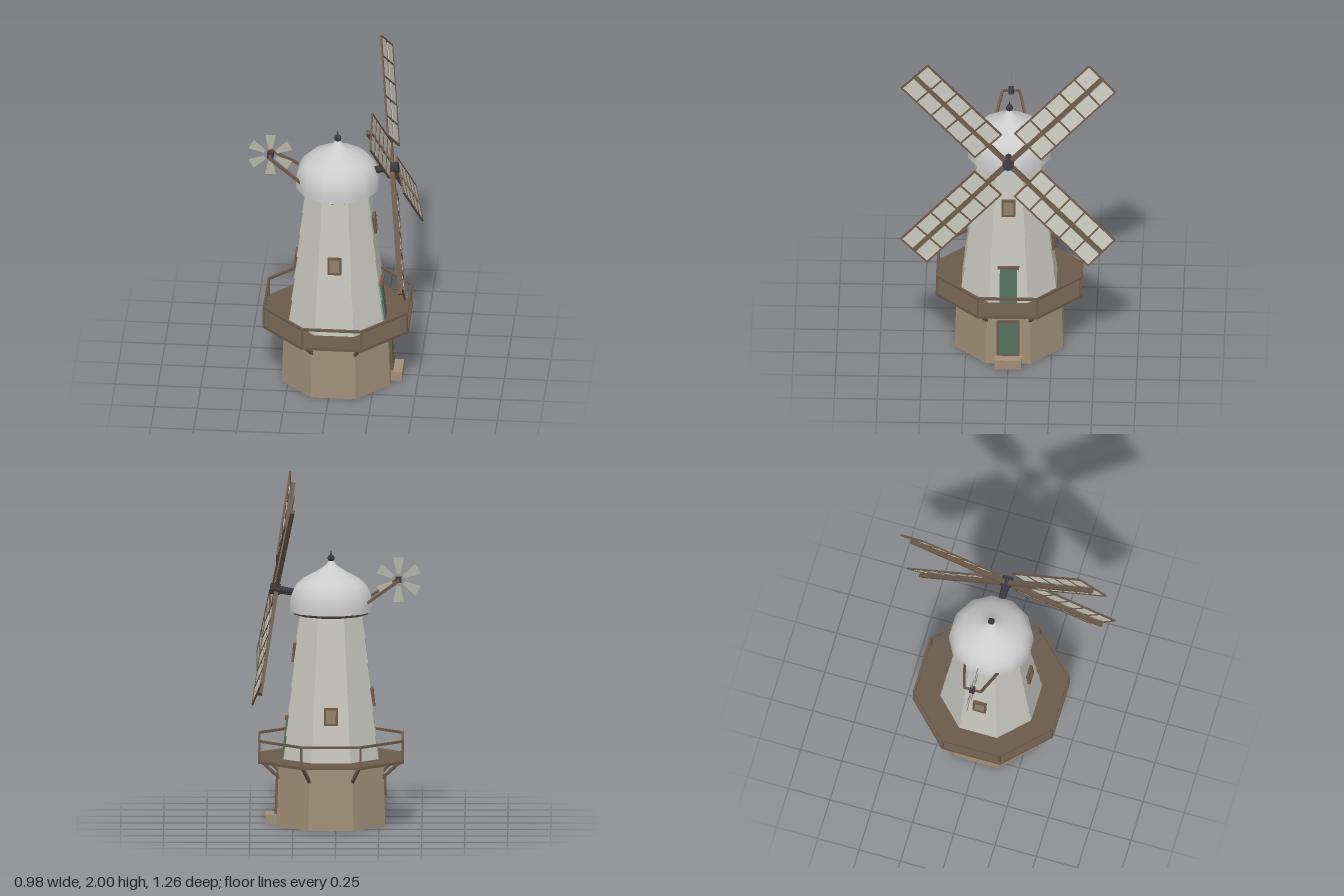
import * as THREE from 'three';

const mat = (color, flatShading = true, side = THREE.FrontSide) =>
  new THREE.MeshStandardMaterial({ color, flatShading, side });
const M = {
  stone: mat(0xa08e78), boards: mat(0xc4c4bc), wood: mat(0x6b5a4a), pane: mat(0x8f7c66),
  iron: mat(0x3a3a3e), green: mat(0x55705f), cap: mat(0xcccccc, false),
  cloth: mat(0xc4c4ba, true, THREE.DoubleSide), vane: mat(0xb4b4a8, true, THREE.DoubleSide),
};
const COS = Math.cos(Math.PI / 8);

function add(parent, name, geometry, material, x = 0, y = 0, z = 0) {
  const m = new THREE.Mesh(geometry, material);
  m.name = name;
  m.position.set(x, y, z);
  parent.add(m);
  return m;
}
const box = (parent, name, material, w, h, d, x, y, z) =>
  add(parent, name, new THREE.BoxGeometry(w, h, d), material, x, y, z);

// Eight-sided frustum, sized by the distance from axis to flat
function octagon(parent, name, material, y0, y1, a0, a1) {
  const g = new THREE.CylinderGeometry(a1 / COS, a0 / COS, y1 - y0, 8).rotateY(Math.PI / 8);
  return add(parent, name, g, material, 0, (y0 + y1) / 2, 0);
}

// Square bar between two points
function beam(parent, name, material, a, b, t) {
  const m = new THREE.Mesh(new THREE.BoxGeometry(t, t, a.distanceTo(b)), material);
  m.name = name;
  m.position.copy(a).lerp(b, 0.5);
  m.lookAt(b);
  parent.add(m);
  return m;
}
const V = (x, y, z) => new THREE.Vector3(x, y, z);
const corner = (i, apothem, y) => {
  const t = (i + 0.5) * Math.PI / 4, r = apothem / COS;
  return V(Math.sin(t) * r, y, Math.cos(t) * r);
};

// Framed opening on a leaning wall; angle 0 faces +z
function opening(parent, name, fill, angle, y, dist, lean, w, h) {
  const turn = new THREE.Group();
  turn.name = name;
  turn.rotation.y = angle;
  const g = new THREE.Group();
  g.position.set(0, y, dist);
  g.rotation.x = -lean;
  turn.add(g);
  parent.add(turn);
  const f = 0.012;
  box(g, 'panel', fill, w - f, h - f, 0.016, 0, 0, 0);
  for (const s of [-1, 1]) {
    box(g, 'jamb', M.wood, f, h, 0.026, s * (w - f) / 2, 0, 0);
    box(g, 'rail', M.wood, w, f, 0.026, 0, s * (h - f) / 2, 0);
  }
}

function buildGallery(mill) {
  const g = new THREE.Group();
  g.name = 'gallery';
  mill.add(g);
  octagon(g, 'deck', M.wood, 0.375, 0.392, 0.425, 0.425);
  for (let i = 0; i < 8; i++) {
    beam(g, 'post', M.wood, corner(i, 0.416, 0.385), corner(i, 0.416, 0.508), 0.013);
    beam(g, 'handrail', M.wood, corner(i, 0.416, 0.506), corner(i + 1, 0.416, 0.506), 0.014);
    beam(g, 'bracket', M.wood, corner(i, 0.395, 0.378), corner(i, 0.3, 0.285), 0.016);
  }
}

function buildSails(mill) {
  // Rotor leans back by ten degrees, local +x is the shaft
  const rotor = new THREE.Group();
  rotor.name = 'sails';
  rotor.position.set(0.317, 1.375, 0);
  rotor.rotation.z = Math.PI / 18;
  mill.add(rotor);
  const shaft = new THREE.CylinderGeometry(0.024, 0.02, 0.2, 8).rotateZ(-Math.PI / 2);
  add(rotor, 'windshaft', shaft, M.iron, -0.08, 0, 0);
  const hub = new THREE.CylinderGeometry(0.033, 0.033, 0.06, 8).rotateZ(-Math.PI / 2);
  add(rotor, 'hub', hub, M.iron, 0.008, 0, 0);

  const r0 = 0.165, r1 = 0.77, half = 0.108, cells = 5;
  const len = r1 - r0, mid = (r0 + r1) / 2;
  for (let k = 0; k < 4; k++) {
    const arm = new THREE.Group();
    arm.name = 'sailArm';
    arm.rotation.x = Math.PI / 4 + k * Math.PI / 2;
    rotor.add(arm);
    box(arm, 'stock', M.wood, 0.026, r1, 0.026, 0, r1 / 2, 0);
    const sail = new THREE.Group();
    sail.name = 'sail';
    sail.position.x = 0.018;
    sail.rotation.y = -0.12;
    arm.add(sail);
    for (const s of [-1, 1]) {
      box(sail, 'cloth', M.cloth, 0.003, len, half - 0.016, 0, mid, s * (half + 0.016) / 2);
      box(sail, 'edgeBar', M.wood, 0.01, len + 0.01, 0.01, 0, mid, s * half);
    }
    for (let i = 0; i <= cells; i++)
      box(sail, 'crossBar', M.wood, 0.01, 0.01, half * 2, 0, r0 + len * i / cells, 0);
  }
}

function buildFantail(mill) {
  const fan = new THREE.Group();
  fan.name = 'fantail';
  fan.position.set(-0.392, 1.43, 0);
  mill.add(fan);
  box(fan, 'fanHub', M.iron, 0.036, 0.036, 0.03, 0, 0, 0);
  box(fan, 'axle', M.wood, 0.012, 0.012, 0.11, 0, 0, 0);
  const shape = new THREE.Shape();
  shape.moveTo(-0.012, 0.038);
  shape.lineTo(0.012, 0.038);
  shape.lineTo(0.032, 0.13);
  shape.lineTo(-0.032, 0.13);
  for (let i = 0; i < 6; i++)
    add(fan, 'vane', new THREE.ShapeGeometry(shape), M.vane).rotation.z = i * Math.PI / 3;
  for (const s of [-1, 1])
    beam(fan, 'fanArm', M.wood, V(0, 0, s * 0.05), V(0.2, -0.135, s * 0.105), 0.015);
}

function buildCap(mill) {
  const curb = new THREE.CylinderGeometry(0.236, 0.215, 0.02, 12).rotateY(Math.PI / 12);
  add(mill, 'curb', curb, M.wood, 0, 1.242, 0);
  const profile = [[0.247, 1.25], [0.247, 1.285], [0.243, 1.325], [0.23, 1.365], [0.207, 1.4],
    [0.168, 1.435], [0.11, 1.467], [0.067, 1.492], [0.035, 1.515], [0.012, 1.542], [0, 1.548]];
  const dome = new THREE.LatheGeometry(profile.map(p => new THREE.Vector2(...p)), 12, Math.PI / 12);
  add(mill, 'dome', dome, M.cap);
  add(mill, 'finialBall', new THREE.SphereGeometry(0.021, 8, 6), M.iron, 0, 1.558, 0);
  add(mill, 'finialTip', new THREE.ConeGeometry(0.008, 0.04, 6), M.iron, 0, 1.59, 0);
}

export function createModel() {
  const model = new THREE.Group();
  model.name = 'windmill';
  const mill = new THREE.Group();
  mill.name = 'mill';
  mill.position.x = 0.028;
  model.add(mill);

  octagon(mill, 'base', M.stone, 0, 0.38, 0.316, 0.303);

  // Overlapping board courses, each flaring a little at its foot
  const apothem = y => 0.272 - (y - 0.385) * 0.106;
  for (let i = 0; i < 6; i++) {
    const y0 = 0.385 + i * 0.1425, y1 = y0 + 0.1425;
    octagon(mill, 'boardCourse', M.boards, y0, y1, apothem(y0) + 0.005, apothem(y1) - 0.001);
  }

  // Windows: [angle, centre height]
  const Q = Math.PI / 2;
  for (const [angle, y] of [[0, 0.833], [Q, 1.003], [-Q, 0.745], [2 * Q, 0.66]])
    opening(mill, 'window', M.pane, angle, y, apothem(y) + 0.005, 0.106, 0.08, 0.105);
  opening(mill, 'baseWindow', M.pane, -Q, 0.215, 0.31, 0.034, 0.08, 0.105);

  // Doors, lintel and step on the sail side
  opening(mill, 'lowerDoor', M.green, Q, 0.175, 0.311, 0.034, 0.132, 0.235);
  box(mill, 'upperDoor', M.green, 0.02, 0.23, 0.1, apothem(0.5) + 0.002, 0.504, 0)
    .rotation.z = 0.106;
  box(mill, 'lintel', M.wood, 0.03, 0.013, 0.126, apothem(0.62) + 0.005, 0.62, 0);
  box(mill, 'step', M.stone, 0.08, 0.06, 0.155, 0.342, 0.03, 0);

  buildGallery(mill);
  buildCap(mill);
  buildSails(mill);
  buildFantail(mill);
  return model;
}
